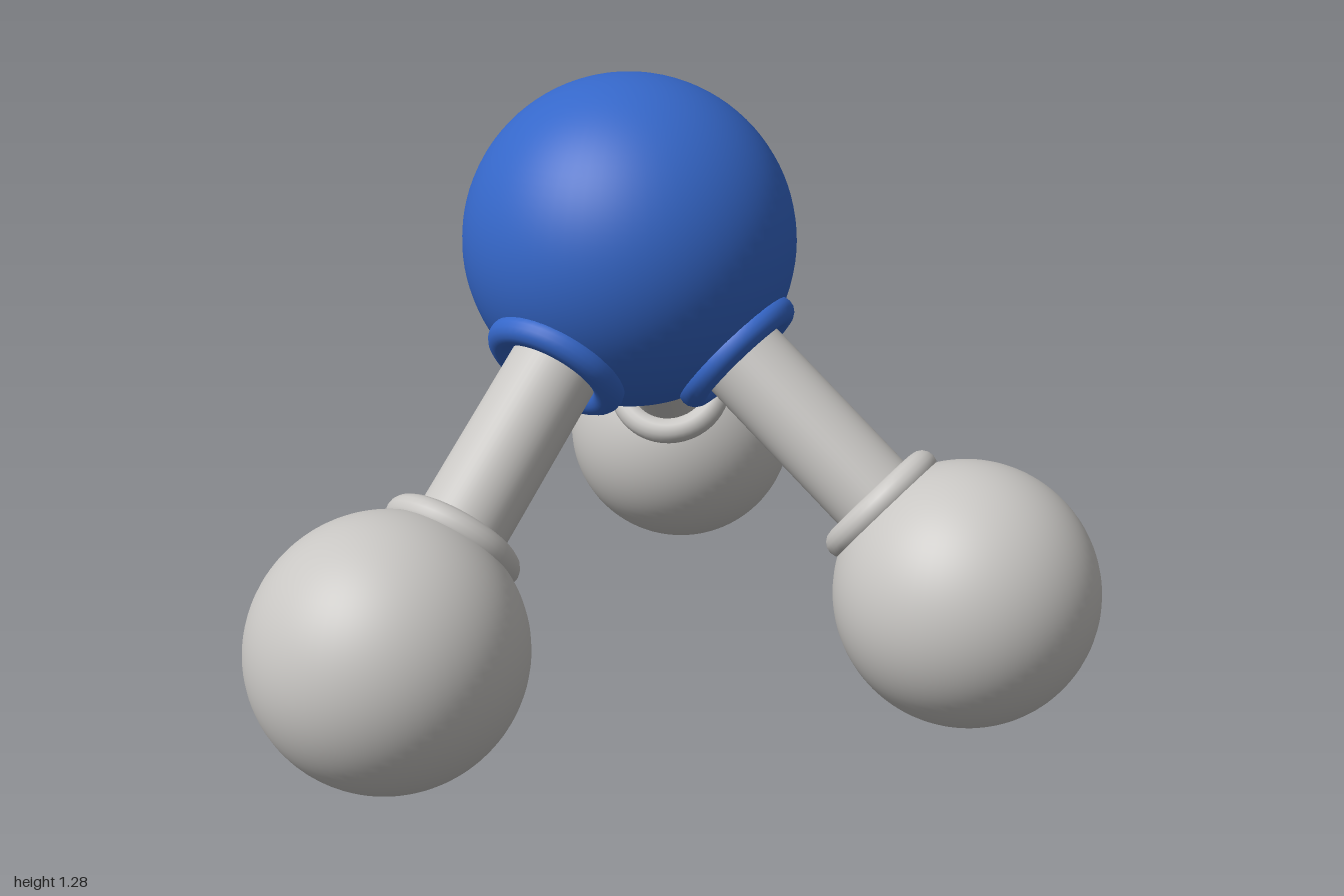
import * as THREE from 'three';

export function createModel() {
  const model = new THREE.Group();
  const blue = new THREE.MeshStandardMaterial({ color: 0x3567c9 });
  blue.name = 'blue';
  const grey = new THREE.MeshStandardMaterial({ color: 0xc8c6c3 });
  grey.name = 'lightGrey';

  const add = (name, geometry, material, position, direction) => {
    const mesh = new THREE.Mesh(geometry, material);
    mesh.name = name;
    mesh.position.copy(position);
    if (direction) mesh.quaternion.setFromUnitVectors(new THREE.Vector3(0, 1, 0), direction);
    model.add(mesh);
  };

  // Ring lying around the y axis
  const ring = (radius, tube) => new THREE.TorusGeometry(radius, tube, 16, 48).rotateX(Math.PI / 2);

  // Central ball
  const center = new THREE.Vector3(-0.257, 0.935, 0);
  add('centralBall', new THREE.SphereGeometry(0.346, 64, 48), blue, center);

  // Three outer balls, each joined by a rod with a soft collar at both ends
  const outer = {
    left: new THREE.Vector3(0.498, 0.274, 0),
    front: new THREE.Vector3(-0.413, 0.274, 0.728),
    back: new THREE.Vector3(-0.498, 0.274, -0.728),
  };
  for (const [side, ball] of Object.entries(outer)) {
    const dir = ball.clone().sub(center).normalize();
    const length = ball.distanceTo(center);
    const along = (d) => center.clone().addScaledVector(dir, d);

    add(side + 'Ball', new THREE.SphereGeometry(0.272, 64, 48), grey, ball);
    add(side + 'Rod', new THREE.CylinderGeometry(0.093, 0.093, length - 0.4, 48), grey, along(length / 2), dir);
    add(side + 'InnerCollar', ring(0.121, 0.031), blue, along(0.323), dir);
    add(side + 'OuterCollar', ring(0.114, 0.031), grey, along(length - 0.249), dir);
  }
  return model;
}
